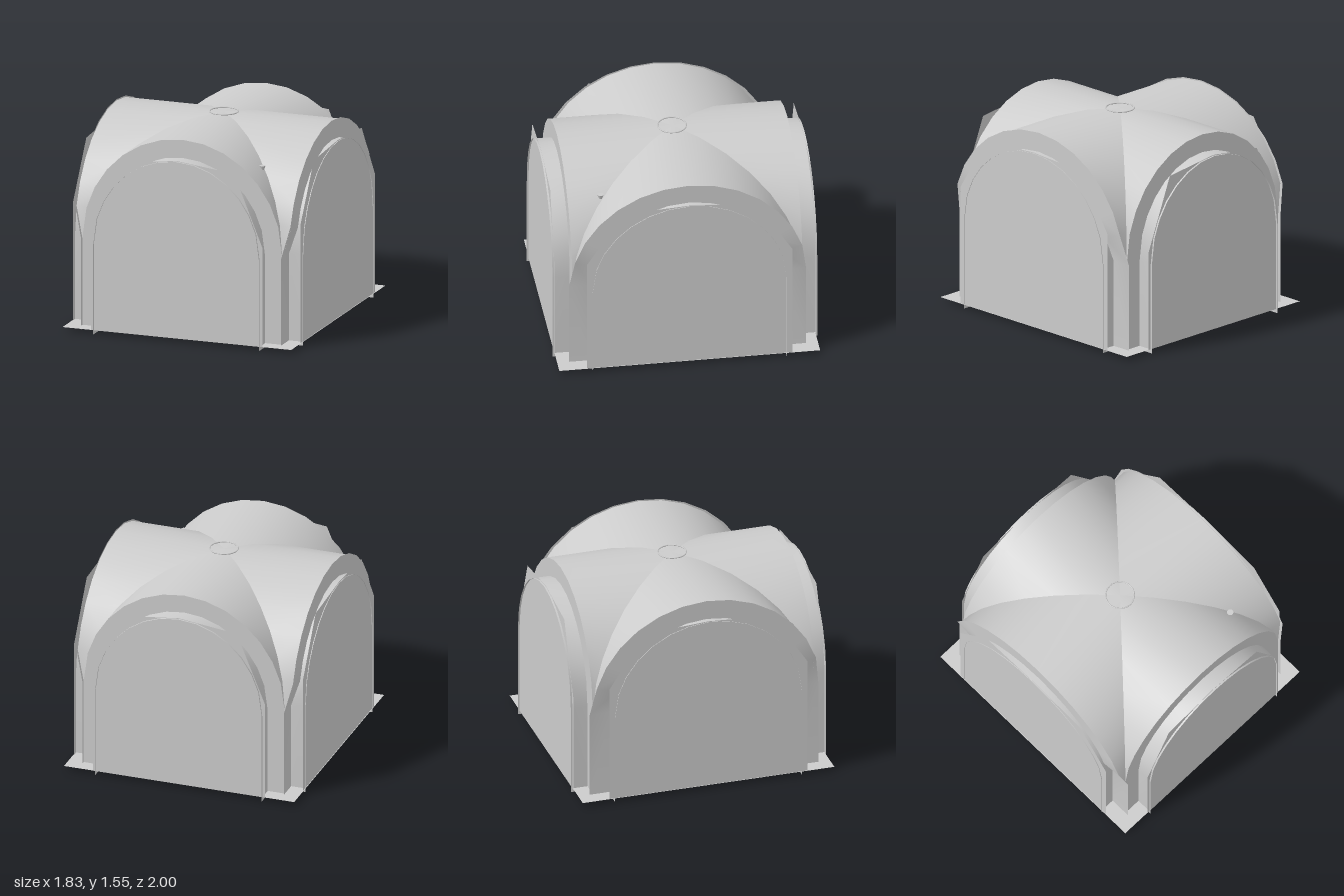
import * as THREE from 'three';

const HALF_X = 0.8, HALF_Z = 0.87;       // vault half spans
const SPRING = 0.7, RISE = 0.84;         // springing height and rise
const OPEN = 0.137;                      // rim width between vault and opening

const grey = new THREE.MeshStandardMaterial({ color: 0xcccccc, side: THREE.DoubleSide });

// Angles of the arch vertices, from one springing point over to the other
const quarter = [0, 16.5];
for (let i = 1; i <= 6; i++) quarter.push(16.5 + i * 12.25);
const angles = [...quarter, ...quarter.slice(0, -1).reverse().map(a => 180 - a)]
  .map(THREE.MathUtils.degToRad);

// Arch points [across, height]; with legs it continues straight down to the ground
function arch(half, rise, legs) {
  const pts = angles.map(a => [half * Math.cos(a), SPRING + rise * Math.sin(a)]);
  return legs ? [[half, 0], ...pts, [-half, 0]] : pts;
}

// Surface between two rows of points
function loft(rowA, rowB) {
  const n = rowA.length, index = [];
  for (let i = 0; i < n - 1; i++) index.push(i, i + 1, n + i, i + 1, n + i + 1, n + i);
  const geo = new THREE.BufferGeometry();
  geo.setAttribute('position', new THREE.Float32BufferAttribute([...rowA, ...rowB].flat(), 3));
  geo.setIndex(index);
  geo.computeVertexNormals();
  return geo;
}

function add(parent, name, geo) {
  const mesh = new THREE.Mesh(geo, grey);
  mesh.name = name;
  parent.add(mesh);
  return mesh;
}

// One bay: vault web, flat rim, opening reveal and wall panel.
// place(across, height, out) gives the position in the room.
function buildBay(name, o) {
  const bay = new THREE.Group();
  bay.name = name;
  const { half, depth, edge, rimHalf, rimRise, end, wallAt, wall, place } = o;
  const last = angles.length - 1;

  // Web runs from the diagonal groin to the outer edge, which tapers back to the groin foot
  const profile = arch(half, RISE, false);
  const outAt = i => (i <= 0 || i >= last ? depth : edge);
  add(bay, 'vaultWeb', loft(
    profile.map(([u, y]) => place(u, y, depth * Math.abs(u) / half)),
    profile.map(([u, y], i) => place(u, y, outAt(i)))));

  // Rim around the opening, with legs to the ground
  const outer = arch(rimHalf, rimRise, true).map(([u, y], i) => place(u, y, outAt(i - 1)));
  const open = arch(half - OPEN, RISE - 0.14, true);
  const inner = open.map(([u, y], i) => place(u, y, outAt(i - 1)));
  add(bay, 'archRim', loft(outer, inner));
  add(bay, 'openingReveal', loft(inner, open.map(([u, y]) => place(u, y, end))));

  // Faceted wall panel closing the opening
  const top = [...wall, [0, 1.405], ...wall.slice().reverse().map(([u, y]) => [-u, y])];
  add(bay, 'wallPanel', loft(
    top.map(([u, y]) => place(u, y, wallAt)),
    top.map(([u]) => place(u, 0.03, wallAt))));
  return bay;
}

export function createModel() {
  const room = new THREE.Group();
  room.name = 'vaultedRoom';

  for (const s of [1, -1]) {
    room.add(buildBay(s > 0 ? 'frontBay' : 'backBay', {
      half: HALF_X, depth: HALF_Z, edge: HALF_Z, rimHalf: HALF_X, rimRise: RISE,
      end: 1.0, wallAt: 0.987,
      wall: [[0.685, 0.8], [0.46, 1.35]],
      place: (u, y, out) => [u, y, s * out],
    }));
    room.add(buildBay(s > 0 ? 'leftBay' : 'rightBay', {
      half: HALF_Z, depth: HALF_X, edge: 0.86, rimHalf: 0.895, rimRise: 0.85,
      end: 0.915, wallAt: 0.91,
      wall: [[0.775, 0.95], [0.5, 1.375]],
      place: (u, y, out) => [s * out, y, u],
    }));
  }

  // Floor sheet
  const floor = add(room, 'floor', new THREE.PlaneGeometry(1.83, 1.97));
  floor.rotation.x = -Math.PI / 2;
  floor.position.y = 0.03;

  // Ring at the crown of the vault
  const ring = add(room, 'crownRing', new THREE.TorusGeometry(0.107, 0.005, 6, 32));
  ring.rotation.x = Math.PI / 2;
  ring.position.y = 1.542;

  // Small lamp poking through one groin
  const lamp = add(room, 'lamp', new THREE.CylinderGeometry(0.024, 0.008, 0.05, 12));
  lamp.position.set(0.545, 1.305, 0.62);

  return room;
}
